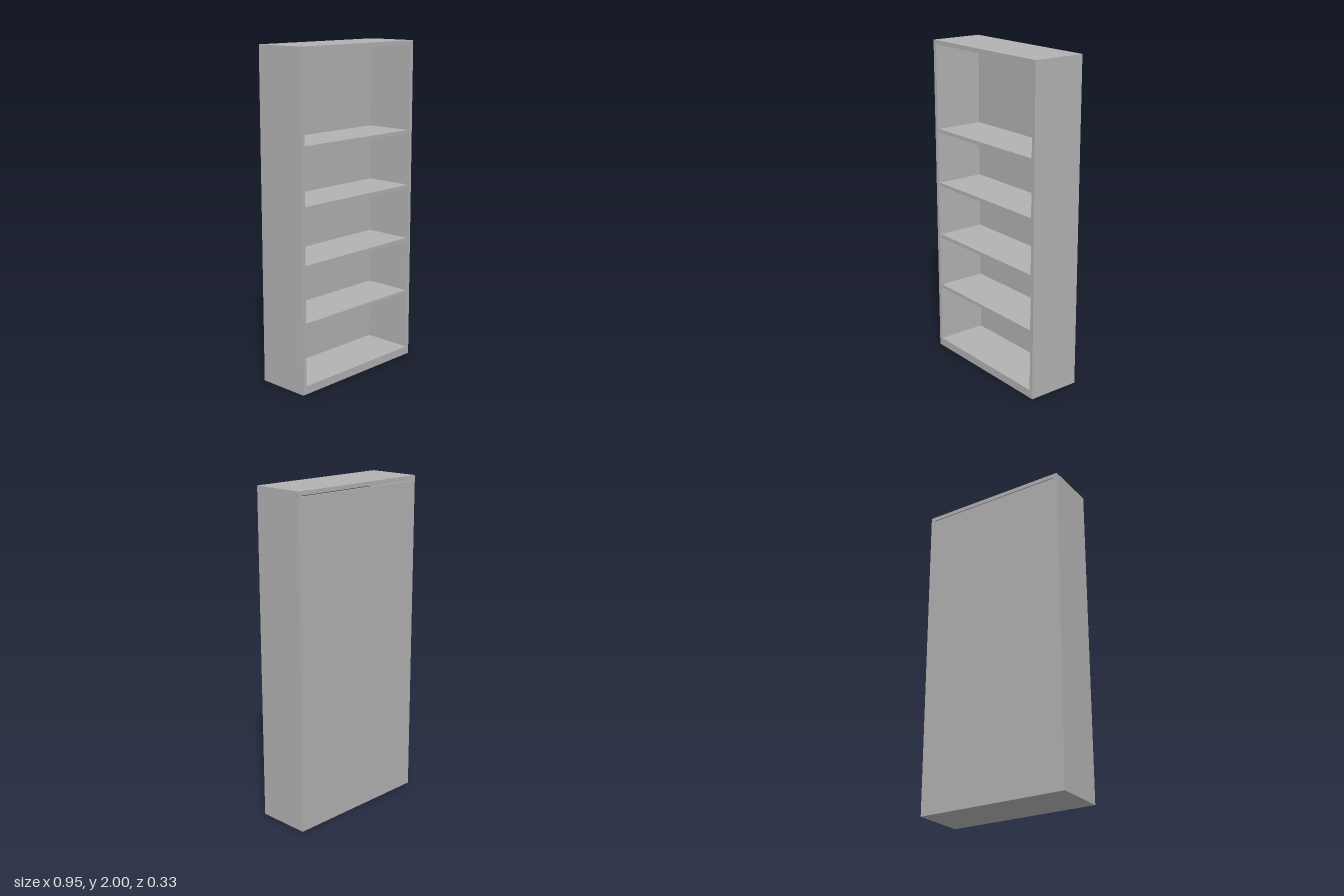
import * as THREE from 'three';

const W = 0.95, H = 2, D = 0.333; // overall size
const T = 0.025;                  // board thickness
const BACK = 0.016;               // back panel thickness
const BASE = 0.05;                // base height
const GAP = 0.006;                // slot above the back panel
const RECESS = 0.01;              // shelf setback from the front

export function createModel() {
  const group = new THREE.Group();
  const grey = new THREE.MeshStandardMaterial({ color: 0xb2b2b2 });
  grey.name = 'grey';
  const inner = W - 2 * T;

  // Board given by its width, y range and z range
  const board = (name, x, w, y0, y1, z0, z1) => {
    const mesh = new THREE.Mesh(new THREE.BoxGeometry(w, y1 - y0, z1 - z0), grey);
    mesh.position.set(x, (y0 + y1) / 2, (z0 + z1) / 2);
    mesh.name = name;
    group.add(mesh);
  };

  // Carcass
  board('leftSide', (W - T) / 2, T, 0, H, -D / 2, D / 2);
  board('rightSide', -(W - T) / 2, T, 0, H, -D / 2, D / 2);
  board('topBoard', 0, inner, H - T, H, -D / 2, D / 2);
  board('base', 0, inner, 0, BASE, -D / 2, D / 2);
  board('backPanel', 0, inner, BASE, H - T - GAP, -D / 2, -D / 2 + BACK);

  // Shelves
  [0.406, 0.75, 1.091, 1.434].forEach((y, i) =>
    board(`shelf${i + 1}`, 0, inner, y, y + 0.022, -D / 2 + BACK, D / 2 - RECESS));

  return group;
}
